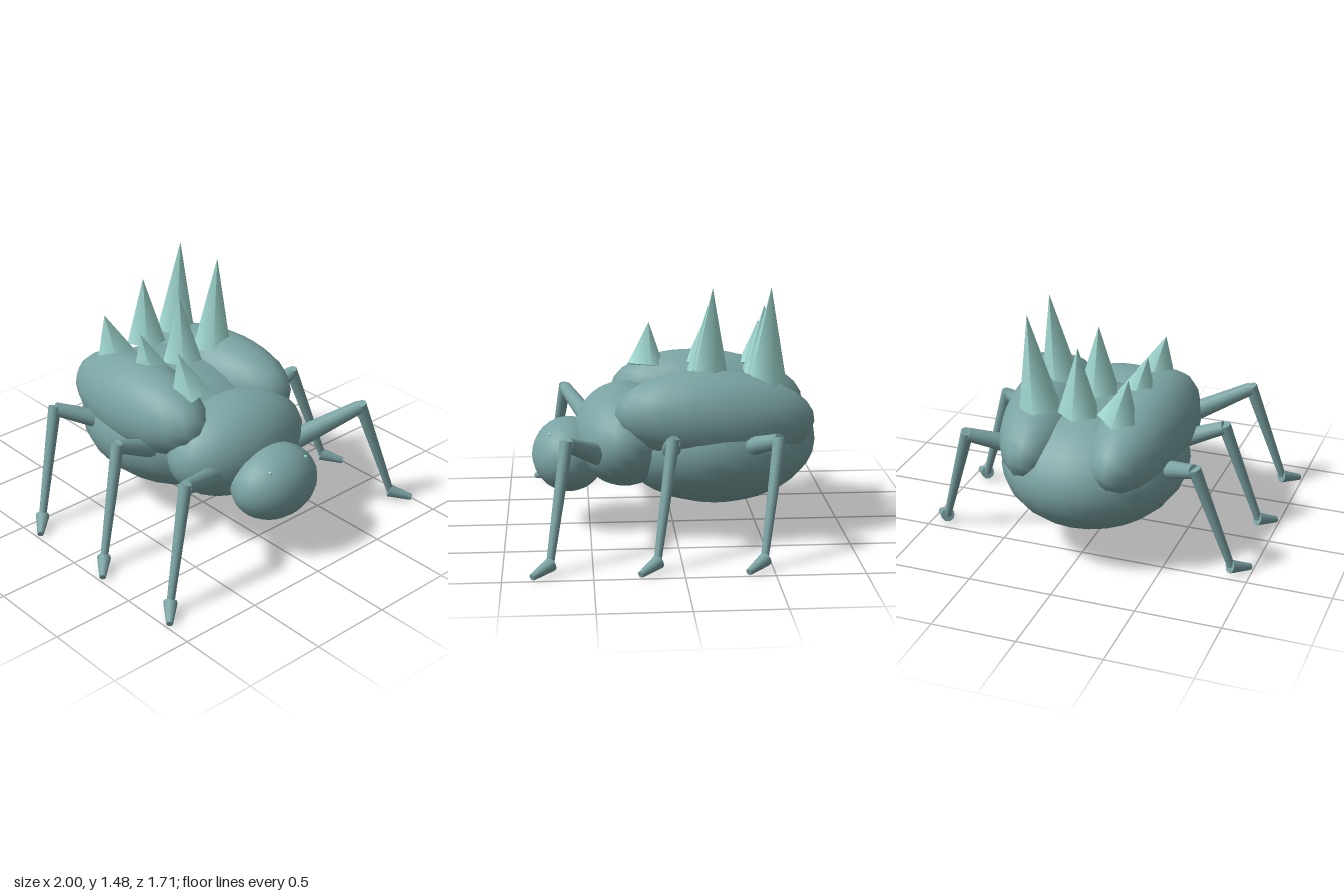
import * as THREE from 'three';

export function createModel() {
  const root = new THREE.Group();
  root.name = 'beetle';

  const shell = new THREE.MeshStandardMaterial({ color: 0x7ba3a3 });
  shell.name = 'dull teal shell';
  const pale = new THREE.MeshStandardMaterial({ color: 0xa3dcd4 });
  pale.name = 'pale teal spike';

  const add = (name, geometry, material, parent = root) => {
    const mesh = new THREE.Mesh(geometry, material);
    mesh.name = name;
    parent.add(mesh);
    return mesh;
  };

  // Ellipsoid with given centre and radii
  const ellipsoid = (name, centre, radii, material = shell, w = 24, h = 16) => {
    const mesh = add(name, new THREE.SphereGeometry(1, w, h), material);
    mesh.position.set(...centre);
    mesh.scale.set(...radii);
    return mesh;
  };

  // Tapered rod from point a to point b
  const up = new THREE.Vector3(0, 1, 0);
  const rod = (name, a, b, ra, rb, sides, material, parent, turn = 0) => {
    const from = new THREE.Vector3(...a), to = new THREE.Vector3(...b);
    const axis = to.clone().sub(from);
    const geometry = rb > 0
      ? new THREE.CylinderGeometry(rb, ra, axis.length(), sides)
      : new THREE.ConeGeometry(ra, axis.length(), sides);
    geometry.rotateY(turn);
    const mesh = add(name, geometry, material, parent);
    mesh.position.copy(from).add(to).multiplyScalar(0.5);
    mesh.quaternion.setFromUnitVectors(up, axis.normalize());
    return mesh;
  };

  // Body
  ellipsoid('head', [0, 0.445, 0.62], [0.28, 0.22, 0.22]);
  ellipsoid('thorax', [0, 0.567, 0.29], [0.47, 0.3, 0.3]);
  ellipsoid('abdomen', [0, 0.54, -0.25], [0.55, 0.385, 0.607]);

  for (const s of [1, -1]) {
    const side = s > 0 ? 'left' : 'right';

    // Wing case, splayed outward and raised toward the front
    const wing = ellipsoid(side + 'WingCase', [s * 0.295, 0.73, -0.23],
      [0.252, 0.272, 0.59], shell, 20, 14);
    wing.rotation.set(-0.08, s * 0.08, 0);

    ellipsoid(side + 'Eye', [s * 0.14, 0.6, 0.732], [0.01, 0.01, 0.01], pale, 10, 8);

    // Legs: name, knee depth, hip
    const legs = [
      ['Front', 0.635, [0.31, 0.52, 0.45]],
      ['Middle', 0.045, [0.34, 0.535, 0.035]],
      ['Back', -0.55, [0.36, 0.55, -0.34]],
    ];
    for (const [name, z, hip] of legs) {
      const leg = new THREE.Group();
      leg.name = side + name + 'Leg';
      root.add(leg);
      const p = (x, y, d) => [s * x, y, z + d];
      rod('upperLeg', [s * hip[0], hip[1], hip[2]], p(0.69, 0.687, 0), 0.064, 0.04, 12, shell, leg);
      rod('lowerLeg', p(0.69, 0.705, 0), p(0.893, 0.065, 0.102), 0.038, 0.022, 12, shell, leg);
      rod('foot', p(0.888, 0.065, 0.095), p(0.983, 0.024, 0.2), 0.041, 0.019, 10, shell, leg);
    }
  }

  // Back spikes: one column per height, tips leaning outward
  const columns = [
    { x: -0.235, tipX: -0.3, tipY: 1.18, baseY: 0.925, rows: 3 },
    { x: 0, tipX: 0, tipY: 1.33, baseY: 0.93, rows: 2 },
    { x: 0.235, tipX: 0.3, tipY: 1.485, baseY: 0.93, rows: 2 },
  ];
  const rows = [[-0.525, -0.545], [-0.19, -0.21], [0.155, 0.125]];
  for (const c of columns) {
    for (const [z, tipZ] of rows.slice(0, c.rows)) {
      rod('spike', [c.x, c.baseY, z], [c.tipX, c.tipY, tipZ], 0.122, 0, 5, pale, root, Math.PI);
    }
  }

  return root;
}
